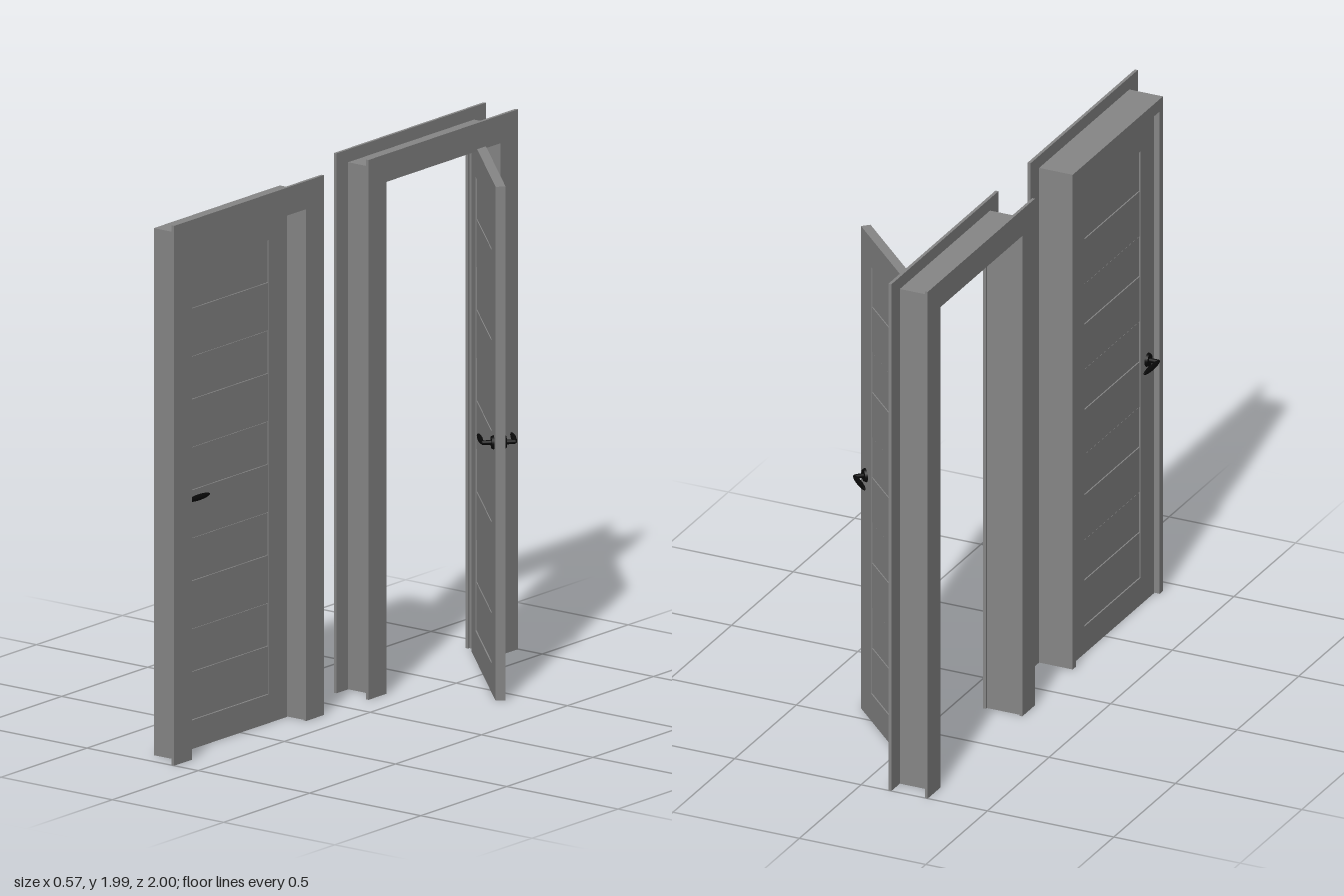
import * as THREE from 'three';

const grey = new THREE.MeshStandardMaterial({ color: 0x868686 });
const black = new THREE.MeshStandardMaterial({ color: 0x080808 });

const LEAF_W = 0.672, LEAF_H = 1.893, LEAF_T = 0.036, STILE = 0.108;
const PANEL_BOTTOM = 0.106, PANEL_TOP = 1.78, HANDLE_Y = 0.938;

function add(parent, name, geometry, material, x = 0, y = 0, z = 0) {
  const mesh = new THREE.Mesh(geometry, material);
  mesh.name = name;
  mesh.position.set(x, y, z);
  parent.add(mesh);
  return mesh;
}

// Upside-down U (two posts and a head), extruded from x0 to x1
function portal(parent, name, halfOuter, top, halfInner, innerTop, x0, x1) {
  const shape = new THREE.Shape([
    [-halfOuter, 0], [-halfInner, 0], [-halfInner, innerTop], [halfInner, innerTop],
    [halfInner, 0], [halfOuter, 0], [halfOuter, top], [-halfOuter, top],
  ].map(([x, y]) => new THREE.Vector2(x, y)));
  const geometry = new THREE.ExtrudeGeometry(shape, { depth: x1 - x0, bevelEnabled: false });
  geometry.rotateY(Math.PI / 2);
  return add(parent, name, geometry, grey, x0);
}

// Jamb with casings that overhang its inner edge slightly
function createFrame(name, z, casingOnBothSides) {
  const frame = new THREE.Group();
  frame.name = name;
  portal(frame, 'jamb', 0.366, 1.942, 0.34, 1.894, -0.253, -0.12);
  portal(frame, 'casing', 0.435, 1.989, 0.332, 1.886, -0.12, -0.108);
  if (casingOnBothSides) portal(frame, 'backCasing', 0.435, 1.989, 0.332, 1.886, -0.264, -0.253);
  frame.position.z = z;
  return frame;
}

// Round rose, neck and straight tapered lever, standing out along +z
function createHandle() {
  const handle = new THREE.Group();
  handle.name = 'handle';
  const rose = new THREE.CylinderGeometry(0.022, 0.026, 0.009, 28).rotateX(Math.PI / 2);
  add(handle, 'rose', rose, black, 0, 0, 0.0045);
  const neck = new THREE.CylinderGeometry(0.008, 0.009, 0.036, 16).rotateX(Math.PI / 2);
  add(handle, 'neck', neck, black, 0, 0, 0.024);
  const lever = new THREE.SphereGeometry(1, 24, 16).scale(0.064, 0.011, 0.009);
  add(handle, 'lever', lever, black, -0.053, 0, 0.042);
  return handle;
}

// Leaf runs from the hinge edge at x = 0 to the lock edge at x = LEAF_W
function createLeaf(name) {
  const leaf = new THREE.Group();
  leaf.name = name;
  const midX = LEAF_W / 2, innerW = LEAF_W - 2 * STILE;

  // Box across the panel opening, between two heights
  const band = (part, y0, y1, thickness) =>
    add(leaf, part, new THREE.BoxGeometry(innerW, y1 - y0, thickness), grey, midX, (y0 + y1) / 2);

  // Stiles and rails
  for (const x of [STILE / 2, LEAF_W - STILE / 2]) {
    add(leaf, 'stile', new THREE.BoxGeometry(STILE, LEAF_H, LEAF_T), grey, x, LEAF_H / 2);
  }
  band('bottomRail', 0, PANEL_BOTTOM, LEAF_T);
  band('topRail', PANEL_TOP, LEAF_H, LEAF_T);

  // Recessed slats, tall and short in turn, over a thinner core
  band('core', PANEL_BOTTOM, PANEL_TOP, LEAF_T - 0.018);
  const pair = (PANEL_TOP - PANEL_BOTTOM) / 5, tall = 0.178, gap = 0.0015;
  for (let i = 0; i < 5; i++) {
    const y = PANEL_BOTTOM + i * pair;
    band('tallSlat', y + gap, y + tall - gap, LEAF_T - 0.008);
    band('shortSlat', y + tall + gap, y + pair - gap, LEAF_T - 0.012);
  }

  // A handle on each face, levers pointing to the hinge
  for (const side of [1, -1]) {
    const handle = createHandle();
    handle.position.set(LEAF_W - 0.051, HANDLE_Y, side * LEAF_T / 2);
    handle.scale.z = side;
    leaf.add(handle);
  }
  return leaf;
}

export function createModel() {
  const model = new THREE.Group();
  model.name = 'twoDoors';

  model.add(createFrame('closedDoorFrame', 0.565, false));
  model.add(createFrame('openDoorFrame', -0.565, true));

  const closed = createLeaf('closedLeaf');
  closed.rotation.y = -Math.PI / 2;
  closed.position.set(-0.214, 0, 0.229);
  model.add(closed);

  const open = createLeaf('openLeaf');
  open.rotation.y = -Math.PI / 4;
  open.position.set(-0.2065, 0, -0.8855);
  model.add(open);

  return model;
}
